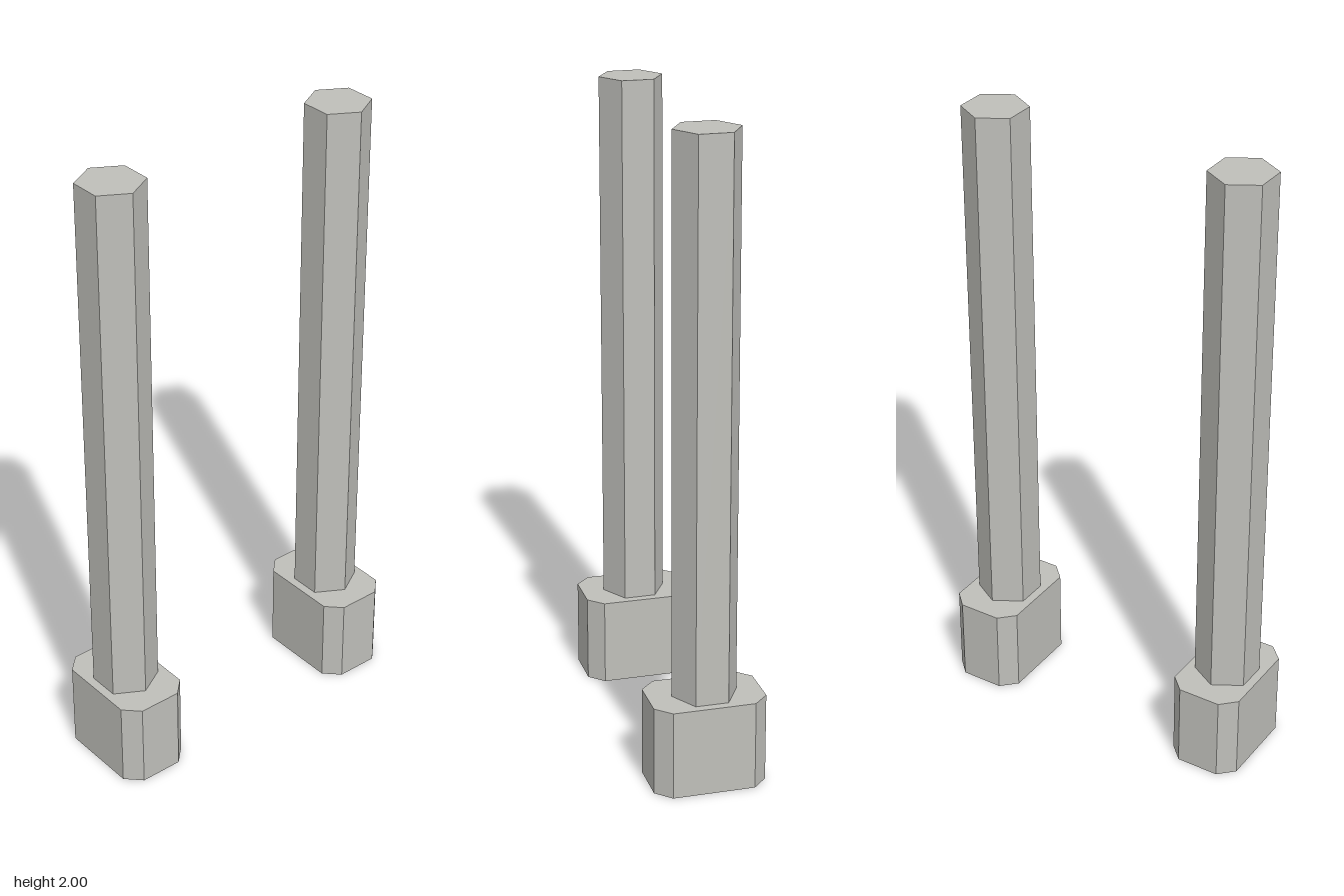
import * as THREE from 'three';

const BASE_HEIGHT = 0.28;
const POST_HEIGHT = 2 - BASE_HEIGHT;

// Rectangular block with cut vertical corners, standing on y = 0
function chamferedBlock(halfX, halfZ, cut, height) {
  const shape = new THREE.Shape([
    [halfX - cut, -halfZ], [halfX, -halfZ + cut],
    [halfX, halfZ - cut], [halfX - cut, halfZ],
    [-halfX + cut, halfZ], [-halfX, halfZ - cut],
    [-halfX, -halfZ + cut], [-halfX + cut, -halfZ],
  ].map(([x, y]) => new THREE.Vector2(x, y)));
  const geometry = new THREE.ExtrudeGeometry(shape, { depth: height, bevelEnabled: false });
  return geometry.rotateX(-Math.PI / 2);
}

export function createModel() {
  const model = new THREE.Group();
  model.name = 'postPair';

  const stone = new THREE.MeshStandardMaterial({ color: 0xbfbfba, flatShading: true });
  stone.name = 'pale grey';

  const baseGeometry = chamferedBlock(0.175, 0.116, 0.047, BASE_HEIGHT);
  // Hexagonal post with two corners pointing along x
  const postGeometry = new THREE.CylinderGeometry(0.102, 0.102, POST_HEIGHT, 6, 1, false, Math.PI / 2);

  for (const [side, z] of [['front', 0.417], ['back', -0.417]]) {
    const pillar = new THREE.Group();
    pillar.name = side + 'Pillar';
    pillar.position.z = z;

    const base = new THREE.Mesh(baseGeometry, stone);
    base.name = side + 'Base';

    const post = new THREE.Mesh(postGeometry, stone);
    post.name = side + 'Post';
    post.position.y = BASE_HEIGHT + POST_HEIGHT / 2;

    pillar.add(base, post);
    model.add(pillar);
  }
  return model;
}
